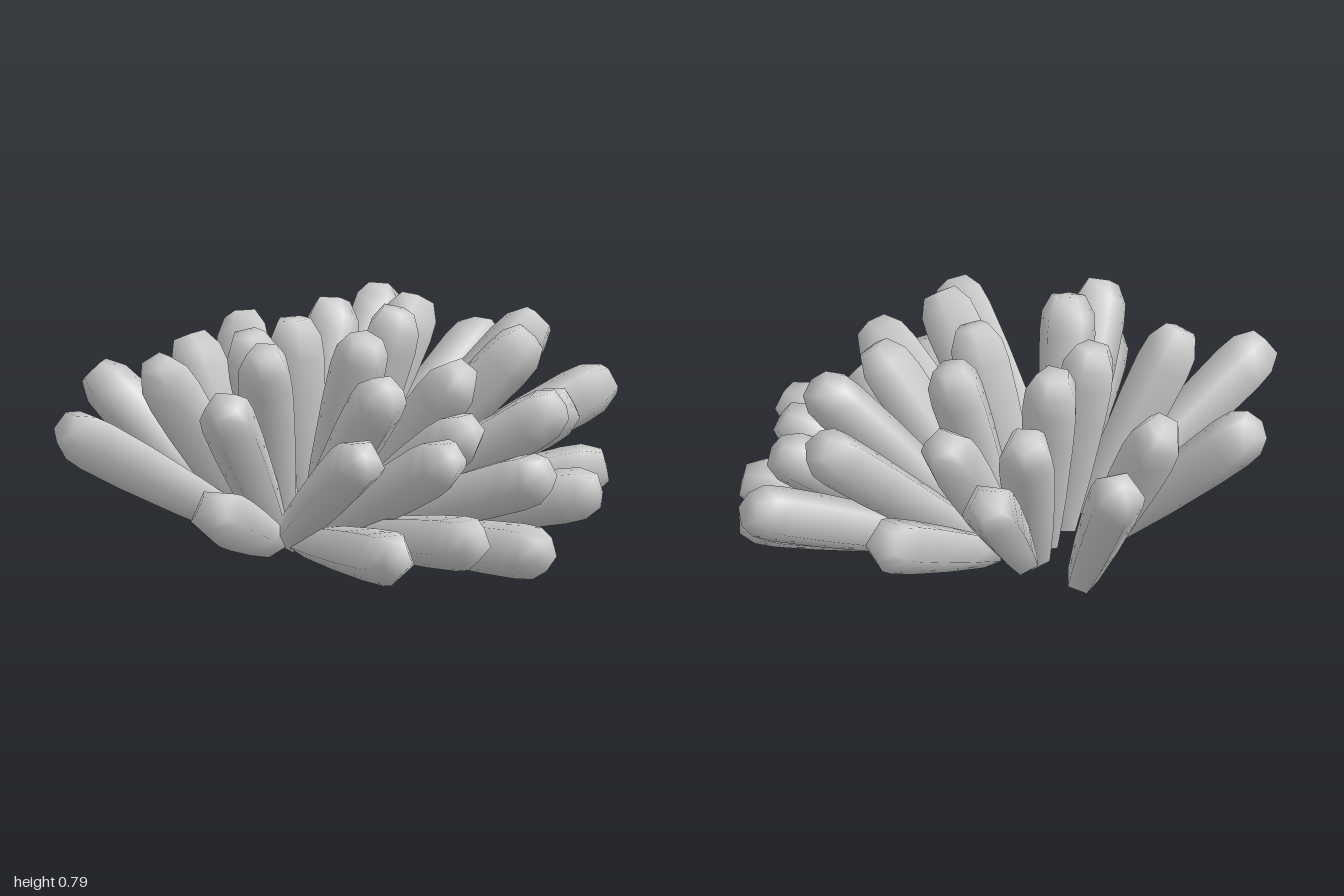
import * as THREE from 'three';
import { toCreasedNormals } from 'three/addons/utils/BufferGeometryUtils.js';

const SIDES = 5;

// One stubby arm: narrow foot, swelling body, bevelled blunt end
function armGeometry(length) {
  const profile = [
    [0, 0], [0.057, 0], [0.078, length * 0.3], [0.093, length * 0.62],
    [0.097, length - 0.13], [0.091, length - 0.06], [0.058, length], [0, length + 0.004],
  ].map(([r, y]) => new THREE.Vector2(r, y));
  return toCreasedNormals(new THREE.LatheGeometry(profile, SIDES), 1.28);
}

// Foot and tip of every arm, grouped by the direction it leans: [foot x, y, z, tip x, y, z]
const clusters = {
  leftwardArms: [
    [-0.31, 0.11, -0.21, -0.97, 0.505, -0.26],
    [-0.26, 0.10, -0.21, -0.63, 0.68, -0.24],
    [-0.26, 0.09, -0.08, -0.67, 0.63, 0.22],
    [-0.33, 0.09, 0.00, -0.82, 0.32, 0.38],
    [-0.22, 0.09, -0.11, -0.41, 0.75, 0.08],
  ],
  uprightArms: [
    [-0.15, 0.10, -0.20, -0.28, 0.74, -0.21],
    [-0.05, 0.09, -0.23, -0.06, 0.75, -0.27],
    [0.06, 0.10, -0.18, 0.21, 0.785, -0.06],
    [-0.05, 0.09, -0.14, -0.04, 0.755, 0.13],
  ],
  backArms: [
    [-0.26, 0.10, -0.32, -0.56, 0.56, -0.70],
    [-0.16, 0.08, -0.36, -0.24, 0.65, -0.62],
    [-0.02, 0.07, -0.46, 0.10, 0.64, -0.81],
    [0.13, 0.15, -0.34, 0.56, 0.69, -0.67],
    [0.05, 0.11, -0.30, 0.25, 0.73, -0.50],
  ],
  rightwardArms: [
    [0.22, 0.18, -0.27, 0.85, 0.56, -0.48],
    [0.12, 0.16, -0.24, 0.48, 0.735, -0.34],
    [0.16, 0.14, -0.16, 0.76, 0.69, -0.04],
    [0.22, 0.14, -0.11, 0.97, 0.48, 0.06],
    [0.16, 0.10, -0.05, 0.79, 0.26, 0.30],
    [0.14, 0.12, -0.08, 0.67, 0.48, 0.28],
    [0.10, 0.09, -0.05, 0.62, 0.235, 0.51],
    [0.10, 0.10, -0.09, 0.55, 0.51, 0.39],
    [0.08, 0.10, -0.12, 0.54, 0.71, 0.23],
  ],
  frontArms: [
    [0.02, 0.10, -0.09, 0.20, 0.66, 0.35],
    [0.00, 0.10, -0.06, 0.14, 0.50, 0.48],
    [-0.15, 0.10, -0.04, -0.18, 0.67, 0.46],
    [-0.10, 0.10, 0.00, -0.08, 0.47, 0.69],
    [-0.07, 0.09, 0.05, -0.04, 0.19, 0.78],
    [-0.27, 0.10, 0.02, -0.41, 0.51, 0.67],
    [-0.24, 0.09, 0.06, -0.39, 0.19, 0.83],
    [0.02, 0.10, 0.00, 0.31, 0.36, 0.67],
    [0.05, 0.08, 0.06, 0.26, 0.11, 0.74],
  ],
};

export function createModel() {
  const model = new THREE.Group();
  model.name = 'armCluster';
  const material = new THREE.MeshStandardMaterial({ color: 0xcccccc });
  const up = new THREE.Vector3(0, 1, 0);

  for (const [name, arms] of Object.entries(clusters)) {
    const group = new THREE.Group();
    group.name = name;
    for (const [fx, fy, fz, tx, ty, tz] of arms) {
      const foot = new THREE.Vector3(fx, fy, fz);
      const axis = new THREE.Vector3(tx, ty, tz).sub(foot);
      const arm = new THREE.Mesh(armGeometry(axis.length()), material);
      arm.name = 'arm';
      arm.position.copy(foot);
      // turn one ridge of the pentagon to the underside
      const heading = Math.atan2(axis.x, axis.z);
      arm.quaternion.setFromUnitVectors(up, axis.normalize());
      arm.rotateY(heading);
      group.add(arm);
    }
    model.add(group);
  }
  return model;
}
